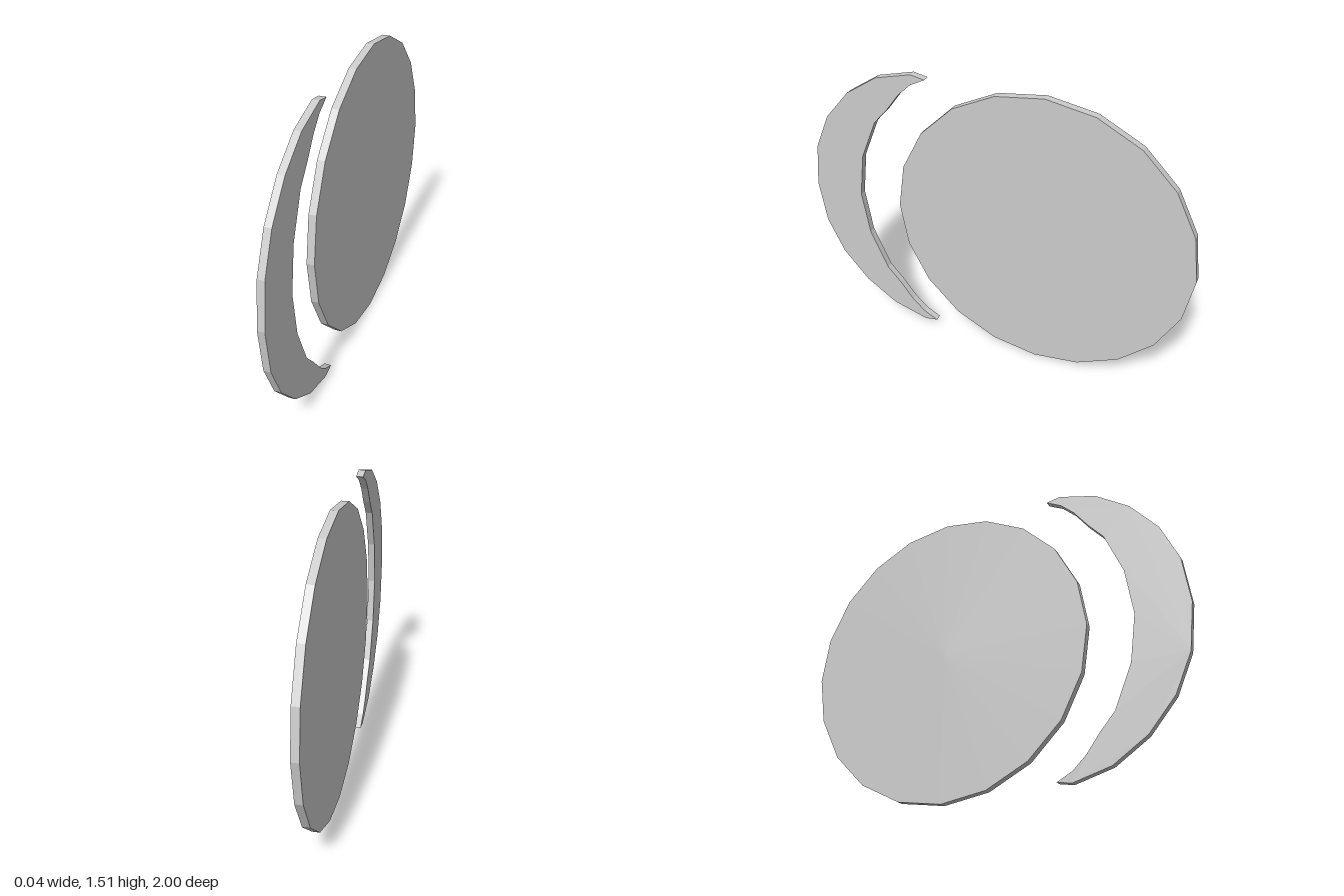
import * as THREE from 'three';

const MID = 0.757; // height of the symmetry line
const HALF = 0.0187; // half thickness of the plates

export function createModel() {
  const group = new THREE.Group();
  const material = new THREE.MeshStandardMaterial({ color: 0xcccccc, flatShading: true });

  // Flat twenty-sided disc, its axis along x
  const discGeometry = new THREE.CylinderGeometry(0.755, 0.755, HALF * 2, 20);
  discGeometry.rotateZ(Math.PI / 2);
  const disc = new THREE.Mesh(discGeometry, material);
  disc.name = 'disc';
  disc.position.set(0, MID, -0.245);
  group.add(disc);

  // Lower half of the crescent as [z, y], from outer middle round the tip to inner middle
  const lower = [
    [1, 0.757], [0.971, 0.527], [0.888, 0.34], [0.756, 0.184], [0.59, 0.072],
    [0.403, 0.019], [0.333, 0.032], [0.408, 0.072], [0.475, 0.136],
    [0.542, 0.227], [0.617, 0.313], [0.705, 0.524], [0.738, 0.757],
  ];
  const upper = lower.slice(1, -1).reverse().map(([z, y]) => [z, 2 * MID - y]);
  const outline = new THREE.Shape([...lower, ...upper].map(([z, y]) => new THREE.Vector2(z, y)));

  // Crescent plate in front of the disc, slightly thinner on one side
  const depth = HALF * 2 - 0.003;
  const crescentGeometry = new THREE.ExtrudeGeometry(outline, { depth, bevelEnabled: false });
  crescentGeometry.rotateY(-Math.PI / 2);
  crescentGeometry.translate(depth - HALF, 0, 0);
  const crescent = new THREE.Mesh(crescentGeometry, material);
  crescent.name = 'crescent';
  group.add(crescent);

  return group;
}
